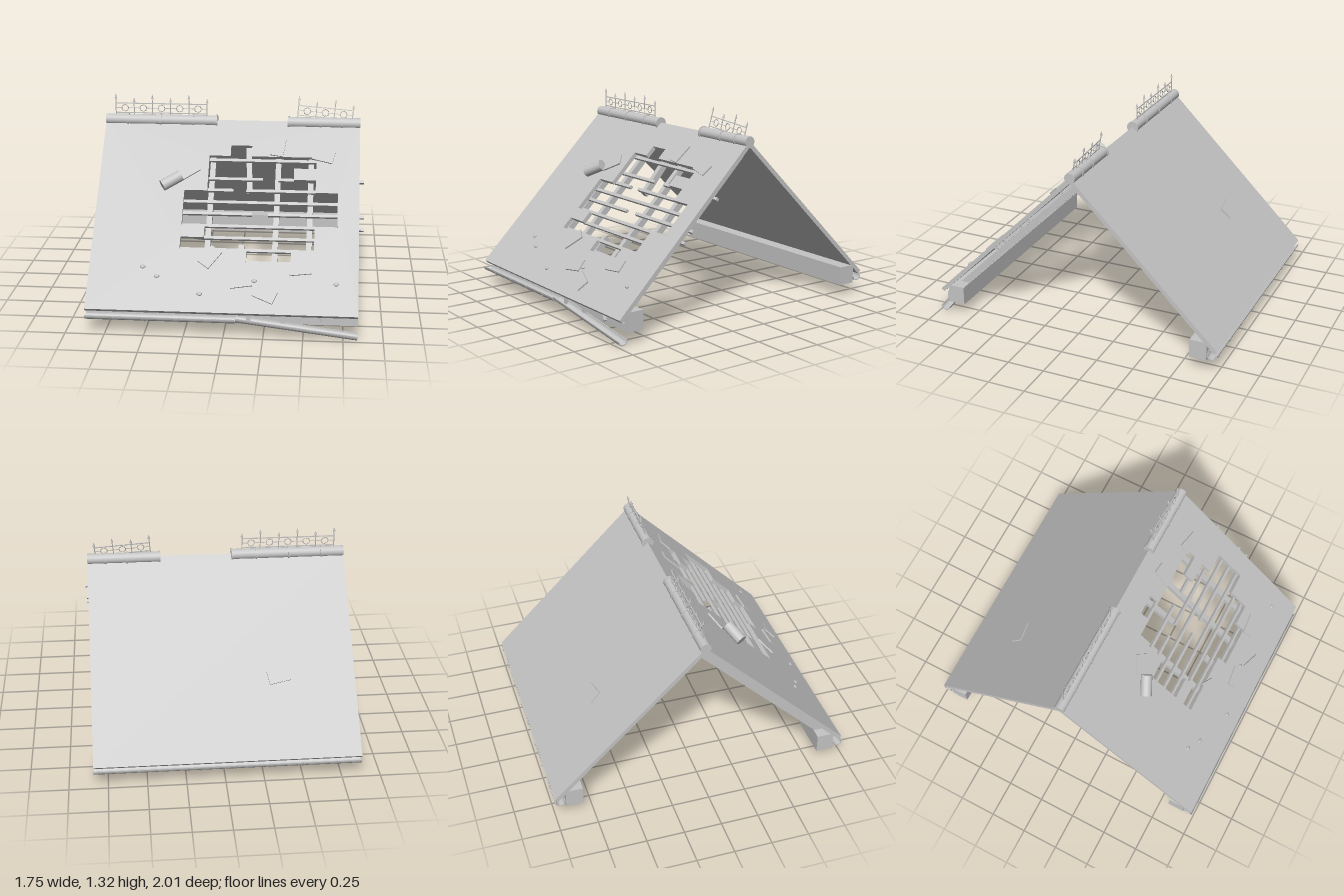
import * as THREE from 'three';

const RIDGE_Y = 1.155, R2 = Math.SQRT2;
const X0 = -0.875, X1 = 0.84, XC = (X0 + X1) / 2, W = X1 - X0;
const down = (y) => (y - RIDGE_Y) * R2; // world height -> slope coordinate

export function createModel() {
  const grey = new THREE.MeshStandardMaterial({ color: 0xc4c4c4 });
  grey.name = 'grey';
  const model = new THREE.Group();
  model.name = 'damagedRoof';

  const add = (parent, name, geo, x = 0, y = 0, z = 0) => {
    const m = new THREE.Mesh(geo, grey);
    m.name = name;
    m.position.set(x, y, z);
    parent.add(m);
    return m;
  };
  const box = (parent, name, w, h, d, x, y, z) =>
    add(parent, name, new THREE.BoxGeometry(w, h, d), x, y, z);
  const group = (parent, name, x = 0, y = 0, z = 0) => {
    const g = new THREE.Group();
    g.name = name;
    g.position.set(x, y, z);
    parent.add(g);
    return g;
  };

  // Slopes: local y runs up the slope, local z points outwards
  const front = group(model, 'frontSlope', 0, RIDGE_Y, 0);
  front.rotation.x = -Math.PI / 4;
  const back = group(model, 'backSlope', 0, RIDGE_Y, 0);
  back.rotation.set(-Math.PI / 4, Math.PI, 0, 'YXZ');

  // Front covering with a stepped hole
  const T = 0.028, LEN = 1.395;
  const slab = new THREE.Shape();
  slab.moveTo(X0, -LEN); slab.lineTo(X1, -LEN); slab.lineTo(X1, 0); slab.lineTo(X0, 0);
  const outline = [
    [-0.015, 1.017], [0.125, 1.017], [0.125, 0.96], [0.555, 0.96], [0.555, 0.9], [0.41, 0.9],
    [0.41, 0.84], [0.555, 0.84], [0.555, 0.775], [0.7, 0.775], [0.7, 0.595], [0.555, 0.595],
    [0.555, 0.475], [0.41, 0.475], [0.41, 0.415], [0.125, 0.415], [0.125, 0.475], [-0.305, 0.475],
    [-0.305, 0.535], [-0.155, 0.535], [-0.155, 0.595], [-0.305, 0.595], [-0.305, 0.775],
    [-0.155, 0.775], [-0.155, 0.96], [-0.015, 0.96],
  ];
  slab.holes.push(new THREE.Path(outline.map(([x, y]) => new THREE.Vector2(x, down(y)))));
  add(front, 'frontCovering', new THREE.ExtrudeGeometry(slab, { depth: T, bevelEnabled: false }), 0, 0, -T);
  box(back, 'backCovering', W, 1.41, T, -XC, -0.705, -T / 2);

  // Battens, some snapped, three sticking out at the gable
  const battens = [
    [0.95, [-0.2, 0.6]], [0.85, [-0.2, 0.205], [0.31, 0.87]], [0.79, [-0.2, 0.015], [0.1, 0.6]],
    [0.728, [-0.35, 0.75]], [0.668, [-0.35, 0.145], [0.25, 0.87]], [0.605, [-0.35, 0.87]],
    [0.545, [-0.2, 0.6]], [0.485, [-0.35, 0.6]], [0.425, [0.08, 0.45]],
  ];
  for (const [y, ...spans] of battens)
    for (const [a, b] of spans)
      box(front, 'batten', b - a, 0.02, 0.02, (a + b) / 2, down(y), -0.039);

  // Rafters, one broken in two
  const rafter = (x, top, bottom) =>
    box(front, 'rafter', 0.036, top - bottom, 0.042, x, (top + bottom) / 2, -0.071);
  for (let i = 0; i < 8; i++) {
    const x = -0.785 + i * 0.2178;
    if (i !== 4) rafter(x, -0.065, -1.31);
    else {
      rafter(x, down(0.52), -1.31);
      const broken = rafter(0.108, -0.065, -0.52);
      broken.name = 'brokenRafter';
      broken.rotation.set(0.03, 0, 0.06);
      broken.position.z = -0.076;
    }
  }

  // Wall plates
  for (const s of [1, -1]) box(model, 'wallPlate', W, 0.125, 0.115, XC, 0.145, s * 0.87);

  // Ridge caps with collars
  const tube = (r, len) => new THREE.CylinderGeometry(r, r, len, 20).rotateZ(Math.PI / 2);
  const ridge = (a, b, collars) => {
    add(model, 'ridgeCap', tube(0.036, b - a), (a + b) / 2, 1.149, 0);
    for (const x of collars) add(model, 'ridgeCollar', tube(0.041, 0.012), x, 1.149, 0);
  };
  ridge(X0, -0.118, [-0.725, -0.505, -0.285, -0.124]);
  ridge(0.355, X1, [0.361, 0.575, 0.72]);

  // Ridge cresting: posts with spear tips, two rails and ring ornaments
  const cresting = (name, x, y, bays, pitch) => {
    const g = group(model, name, x, y, 0);
    const len = bays * pitch;
    for (const h of [0.012, 0.077]) box(g, 'crestRail', len, 0.006, 0.006, len / 2, h, 0);
    for (let i = 0; i <= bays; i++) {
      const h = i % 2 ? 0.09 : 0.112;
      add(g, 'crestPost', new THREE.CylinderGeometry(0.0035, 0.0035, h + 0.02, 6), i * pitch, h / 2 - 0.01, 0);
      add(g, 'spearTip', new THREE.ConeGeometry(0.009, 0.032, 6), i * pitch, h + 0.014, 0);
      if (i === bays) continue;
      const cx = (i + 0.5) * pitch;
      add(g, 'ringOrnament', new THREE.TorusGeometry(0.023, 0.003, 5, 8), cx, 0.045, 0);
      for (const s of [1, -1])
        box(g, 'ornamentTie', pitch / 2 - 0.023, 0.004, 0.004, cx + s * (pitch / 4 + 0.0115), 0.045, 0);
    }
    return g;
  };
  cresting('leftCresting', -0.81, 1.183, 5, 0.124);
  const bent = cresting('bentCresting', 0.42, 1.187, 3, 0.122);
  bent.rotation.set(-0.22, 0, -0.08);

  // Gutters: half-round channel running along x
  const channel = (len) => {
    const s = new THREE.Shape();
    s.absarc(0, 0, 0.034, Math.PI, 2 * Math.PI, false);
    s.absarc(0, 0, 0.028, 2 * Math.PI, Math.PI, true);
    return new THREE.ExtrudeGeometry(s, { depth: len, bevelEnabled: false, curveSegments: 10 })
      .rotateY(Math.PI / 2);
  };
  const GY = 0.128, GZ = 0.964;
  add(model, 'backGutter', channel(W), X0, GY, -GZ);
  add(model, 'frontGutter', channel(0.95), X0, GY, GZ);
  const fallen = add(model, 'fallenGutter', channel(0.768), 0.078, 0.135, GZ - 0.002);
  fallen.rotation.z = -0.126;

  // Gutter brackets
  const bracket = (x, side, strap) => {
    const g = group(model, 'gutterBracket', x, GY, side * GZ);
    box(g, 'bracketArm', 0.028, 0.035, 0.03, 0, -0.005, -side * 0.046);
    if (strap)
      add(g, 'bracketStrap', new THREE.TorusGeometry(0.035, 0.004, 5, 10, Math.PI)
        .rotateZ(Math.PI).rotateY(Math.PI / 2));
    return g;
  };
  for (let i = 0; i < 8; i++) {
    const x = -0.71 + i * 0.2165;
    bracket(x, -1, true);
    const b = bracket(x, 1, i < 4);
    if (i >= 4) box(b, 'emptyHook', 0.028, 0.045, 0.02, 0, -0.01, -0.022);
    if (i === 6) b.rotation.z = 0.55;
  }

  // Loose tiles lying on the slopes: x, height, turn
  const tiles = [
    [0.3, 1.012, 1.42], [0.6, 0.968, -0.24], [-0.29, 0.875, 0.62], [-0.105, 0.435, 0.95],
    [0.098, 0.322, 0.16], [0.255, 0.262, -0.4], [0.47, 0.39, 0.12],
  ];
  for (const [x, y, a] of tiles)
    box(front, 'looseTile', 0.14, 0.085, 0.01, x, down(y), 0.007).rotation.z = a;
  const backTile = box(back, 'looseTile', 0.14, 0.09, 0.01, 0.375, -0.86, 0.008);
  backTile.rotation.z = 0.2;

  // Fallen ridge piece
  const piece = add(front, 'fallenRidgePiece', tube(0.038, 0.14), -0.39, -0.49, 0.038);
  piece.rotation.z = 0.6;

  // Small rubble
  const rubble = [[-0.53, 0.38], [-0.435, 0.335], [-0.155, 0.255], [0.185, 0.325], [0.29, 0.26], [0.7, 0.32]];
  for (const [x, y] of rubble)
    add(front, 'rubble', new THREE.SphereGeometry(0.018, 8, 6).scale(1, 0.7, 0.5), x, down(y), 0.004);

  return model;
}
